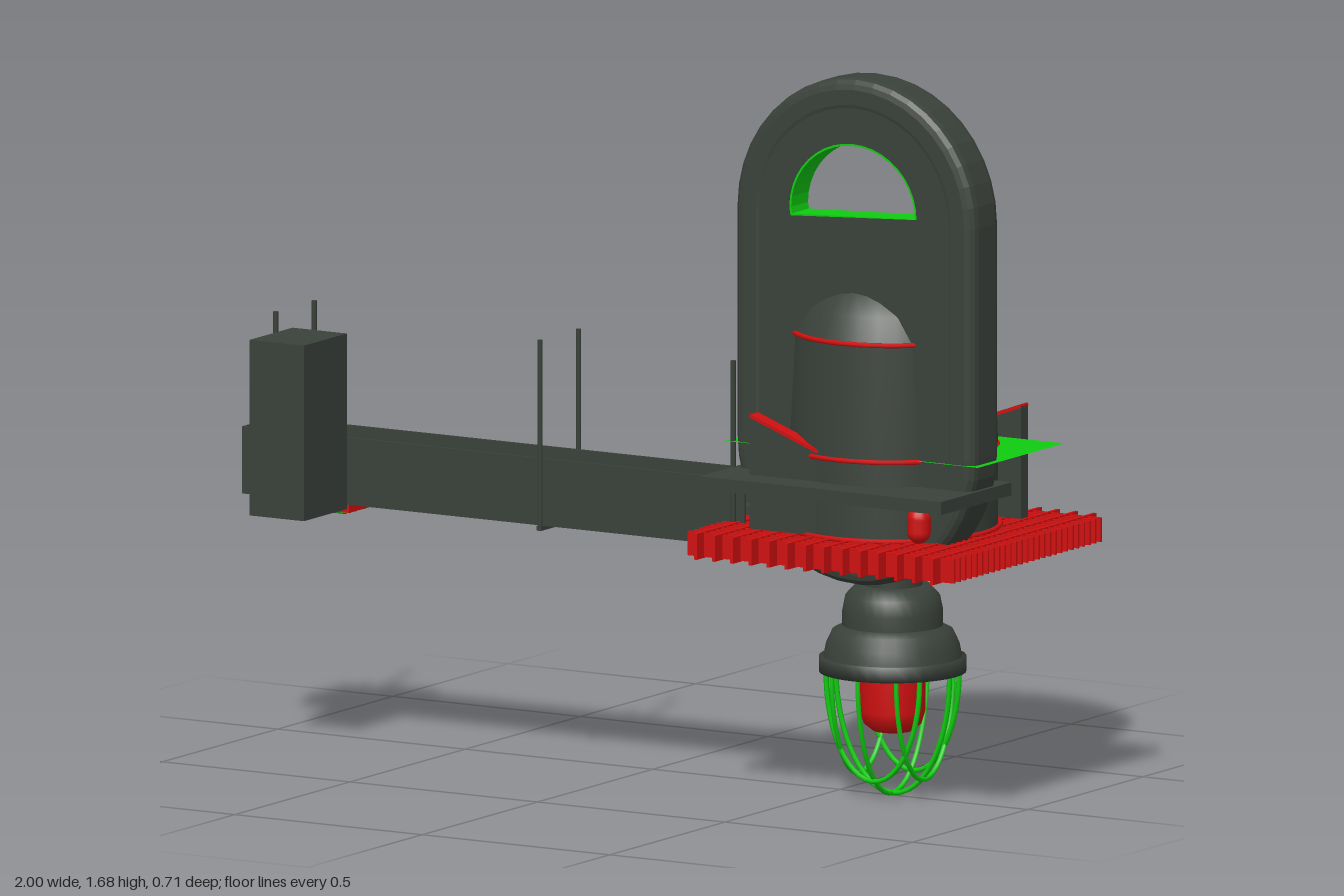
import * as THREE from 'three';

const mat = (name, color, side = THREE.FrontSide) => {
  const m = new THREE.MeshStandardMaterial({ color, side });
  m.name = name;
  return m;
};

export function createModel() {
  const root = new THREE.Group();
  const dark = mat('darkGrey', 0x3a413a, THREE.DoubleSide);
  const red = mat('red', 0xd01010);
  const green = mat('green', 0x10cc10, THREE.DoubleSide);
  const blue = mat('blue', 0x1010bb, THREE.DoubleSide);
  const CX = 0.64;

  const add = (name, geo, m, x = 0, y = 0, z = 0) => {
    const mesh = new THREE.Mesh(geo, m);
    mesh.name = name;
    mesh.position.set(x, y, z);
    root.add(mesh);
    return mesh;
  };
  // box given by its bounds
  const box = (name, m, x0, x1, y0, y1, z0, z1) =>
    add(name, new THREE.BoxGeometry(x1 - x0, y1 - y0, z1 - z0), m, (x0 + x1) / 2, (y0 + y1) / 2, (z0 + z1) / 2);
  const lathe = (name, m, pts, sides = 32) =>
    add(name, new THREE.LatheGeometry(pts.map(p => new THREE.Vector2(...p)), sides), m, CX, 0, 0);

  // upright slab: capsule outline, recessed panel on the back, D-shaped window
  const capsule = (Path, r) => {
    const p = new Path();
    p.absarc(CX, 1.36, r, 0, Math.PI, false);
    p.absarc(CX, 0.83, r, Math.PI, Math.PI * 2, false);
    p.closePath();
    return p;
  };
  const windowPath = (Path, g = 0) => {
    const p = new Path();
    p.moveTo(CX + 0.17 - g, 1.35 + g);
    p.absellipse(CX - 0.003, 1.37, 0.17 - g, 0.16 - g, 0, Math.PI, false);
    p.lineTo(CX - 0.17 + g, 1.35 + g);
    p.closePath();
    return p;
  };
  const extrude = (name, m, shape, z0, z1, bevel = 0) => add(name, new THREE.ExtrudeGeometry(shape, {
    depth: z1 - z0 - 2 * bevel, curveSegments: 10, bevelEnabled: bevel > 0,
    bevelSize: bevel, bevelThickness: bevel, bevelSegments: 3, steps: 1,
  }), m, 0, 0, z0 + bevel);

  const rim = capsule(THREE.Shape, 0.295);
  rim.holes.push(capsule(THREE.Path, 0.26));
  extrude('slabRim', dark, rim, 0.05, 0.17, 0.025);
  const panel = capsule(THREE.Shape, 0.27);
  panel.holes.push(windowPath(THREE.Path));
  extrude('slabPanel', dark, panel, 0.095, 0.168);
  const lining = windowPath(THREE.Shape);
  lining.holes.push(windowPath(THREE.Path, 0.005));
  extrude('windowLining', green, lining, 0.094, 0.167);
  const trim = new THREE.Shape();
  trim.absarc(CX, 1.36, 0.245, 0, Math.PI, false);
  trim.lineTo(CX - 0.245, 0.9);
  trim.lineTo(CX - 0.23, 0.9);
  trim.absarc(CX, 1.36, 0.23, Math.PI, 0, true);
  extrude('recessTrim', blue, trim, 0.089, 0.094);

  // domed drum with red bands
  lathe('drum', dark, [[0.24, 0.62], [0.24, 0.81], [0.23, 1.08]]);
  lathe('dome', dark, [[0.23, 1.08], [0.205, 1.14], [0.165, 1.19], [0.1, 1.225], [0.04, 1.238], [0, 1.24]]);
  for (const [y, r] of [[0.63, 0.245], [0.812, 0.24], [1.08, 0.23]]) {
    const band = add('drumBand', new THREE.TorusGeometry(r, 0.006, 6, 40), red, CX, y, 0);
    band.rotation.x = Math.PI / 2;
  }
  add('domeTip', new THREE.SphereGeometry(0.012, 10, 6), red, CX, 1.236, 0);

  // sloping buttresses against the drum
  const wedge = new THREE.Shape([[0, 0], [0.19, 0], [0.19, 0.19], [0, 0.26]].map(p => new THREE.Vector2(...p)));
  for (const [x, z, a] of [[0.4, 0.2, 0], [0.86, -0.2, Math.PI]]) {
    const b = extrude('buttress', dark, wedge, 0, 0.03);
    b.position.set(x, 0.63, z);
    b.rotation.y = a;
    const edge = box('buttressEdge', red, 0, 0.2, -0.004, 0.004, 0, 0.034);
    edge.position.set(0.095, 0.226, 0.015);
    edge.rotation.z = -0.353;
    b.add(edge);
  }

  // thin deck and front shelf with red indicators
  const deck = add('deck', new THREE.PlaneGeometry(0.675, 0.375), green, 0.6375, 0.815, -0.0125);
  deck.rotation.x = -Math.PI / 2;
  box('shelf', dark, 0.315, 0.96, 0.725, 0.755, 0.005, 0.31);
  for (const x of [0.455, 0.83]) {
    add('indicator', new THREE.CapsuleGeometry(0.027, 0.03, 5, 14), red, x, 0.672, 0.195);
    add('indicatorCap', new THREE.CylinderGeometry(0.02, 0.02, 0.03, 14), dark, x, 0.715, 0.195);
  }

  // open grating of crossed bars
  for (let i = 0; i < 14; i++) {
    const x = 0.33 + i * 0.0485;
    box('gratingBar', red, x - 0.004, x + 0.004, 0.57, 0.63, -0.356, 0.352);
  }
  for (let i = 0; i < 27; i++) {
    const z = -0.32 + i * 0.0245;
    box('gratingCrossBar', red, 0.29, 1, 0.572, 0.628, z - 0.003, z + 0.003);
  }

  // arm: open-topped channel with a back rail
  box('armFront', dark, -1, 0.34, 0.572, 0.725, 0.148, 0.155);
  box('armBack', dark, -1, 0.34, 0.572, 0.725, 0.008, 0.015);
  box('armFloor', dark, -1, 0.34, 0.57, 0.577, 0.008, 0.155);
  box('armEnd', dark, -1, -0.993, 0.572, 0.725, 0.008, 0.155);
  box('rail', dark, -0.62, 0.32, 0.568, 0.625, -0.02, 0.015);
  box('railInner', dark, -0.62, 0.32, 0.585, 0.645, 0.012, 0.06);
  box('tower', dark, -0.865, -0.72, 0.56, 0.965, 0.155, 0.342);

  // clamp rods around the arm
  for (const x of [-0.905, -0.2, 0.315]) {
    for (const z of [-0.004, 0.163])
      add('rod', new THREE.CylinderGeometry(0.006, 0.006, 0.44, 8), dark, x, 0.78, z);
    box('rodTie', dark, x - 0.006, x + 0.006, 0.56, 0.57, -0.01, 0.169);
  }

  // louvred vents: one under the arm end, one on the back of the arm
  box('floorVentFrame', red, -0.865, -0.73, 0.546, 0.57, 0.0, 0.13);
  box('floorVentPlate', green, -0.845, -0.75, 0.541, 0.546, 0.018, 0.112);
  box('backVentFrame', red, 0.135, 0.28, 0.578, 0.715, -0.022, 0.008);
  box('backVentPlate', green, 0.153, 0.262, 0.595, 0.698, -0.026, -0.022);
  for (let i = 0; i < 5; i++) {
    const t = i * 0.02;
    box('floorVentSlat', dark, -0.843, -0.752, 0.538, 0.541, 0.024 + t, 0.027 + t);
    box('backVentSlat', dark, 0.155, 0.26, 0.605 + t, 0.608 + t, -0.029, -0.026);
    box('innerVentSlat', green, -0.855, -0.735, 0.577, 0.581, 0.02 + t * 0.8, 0.03 + t * 0.8);
  }

  // hanging lamp
  lathe('lampStem', dark, [[0.068, 0.63], [0.068, 0.48]]);
  lathe('lampNeck', dark, [[0, 0.49], [0.085, 0.49], [0.108, 0.465], [0.115, 0.43], [0.115, 0.39]].reverse());
  lathe('lampFlare', dark, [[0.115, 0.397], [0.138, 0.385], [0.152, 0.355], [0.158, 0.325]].reverse());
  lathe('lampCollar', dark, [[0.07, 0.29], [0.168, 0.29], [0.168, 0.325], [0.15, 0.325]]);
  lathe('bulb', red, [[0, 0.15], [0.045, 0.153], [0.066, 0.17], [0.075, 0.2], [0.075, 0.3]]);
  const lug = box('lampLug', dark, -0.01, 0.01, -0.01, 0.01, -0.04, 0.04);
  lug.position.set(CX, 0.51, -0.07);
  lug.rotation.x = 0.45;

  // wire cage: half-ellipse hoops in two crossing directions
  for (const turn of [0, Math.PI / 2]) {
    for (const [off, r, depth] of [[0, 0.152, 0.284], [0.086, 0.125, 0.245], [-0.086, 0.125, 0.245]]) {
      const pts = [];
      for (let i = 0; i <= 16; i++) {
        const a = Math.PI * i / 16;
        pts.push(new THREE.Vector3(r * Math.cos(a), -depth * Math.sin(a), off));
      }
      const hoop = new THREE.TubeGeometry(new THREE.CatmullRomCurve3(pts), 32, 0.006, 6);
      add('cageHoop', hoop, green, CX, 0.292, 0).rotation.y = turn;
    }
  }
  return root;
}
